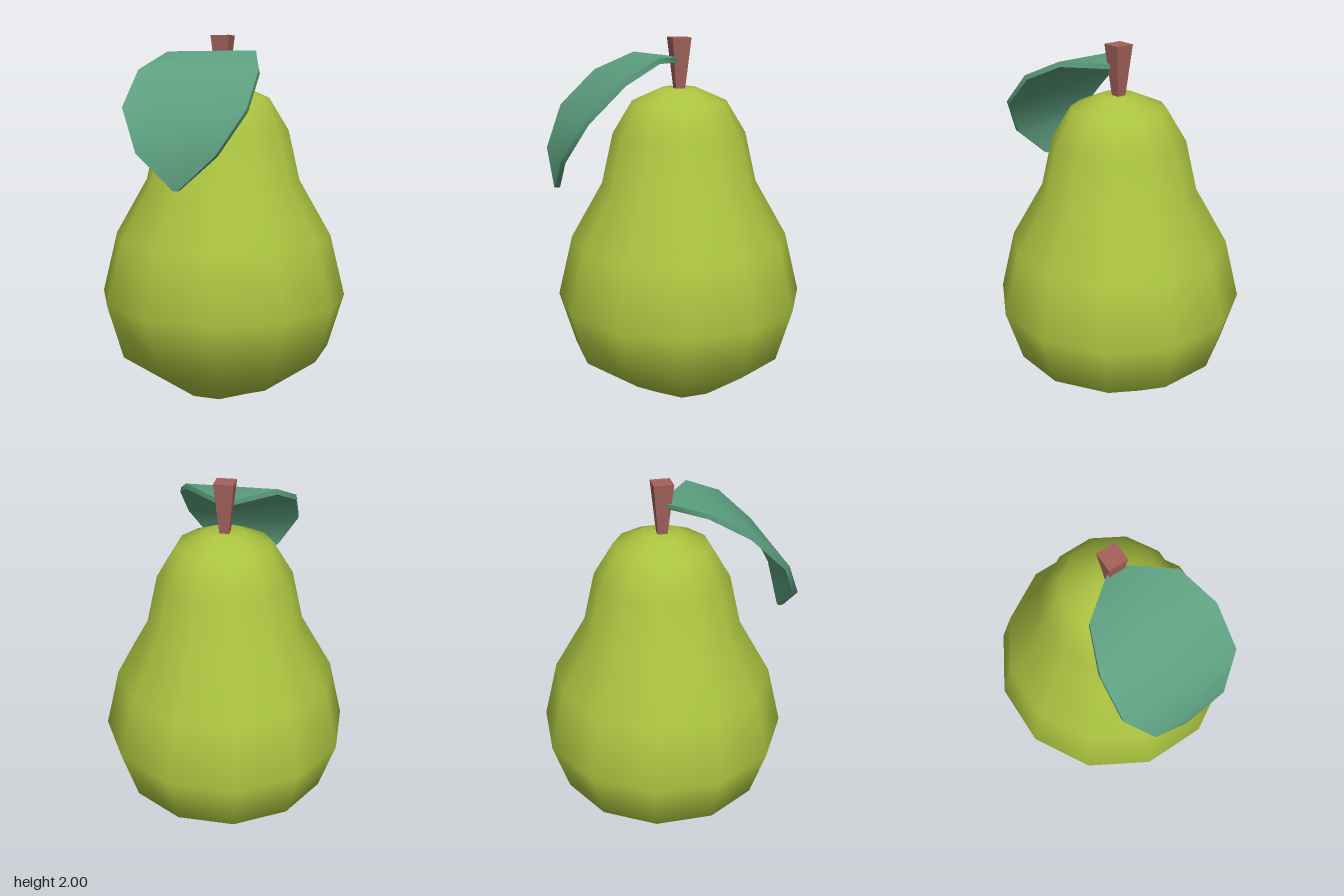
import * as THREE from 'three';
import { mergeVertices, toCreasedNormals } from 'three/addons/utils/BufferGeometryUtils.js';

function material(name, color) {
  const m = new THREE.MeshStandardMaterial({ color });
  m.name = name;
  return m;
}

// Smooth twelve-sided body with a slightly lobed underside
function bodyGeometry() {
  const profile = [
    [0, 0.04], [0.29, 0], [0.61, 0.235], [0.7, 0.54], [0.615, 0.885],
    [0.435, 1.2], [0.37, 1.48], [0.26, 1.66], [0.1, 1.73], [0, 1.725],
  ].map(([r, y]) => new THREE.Vector2(r, y));
  const raw = new THREE.LatheGeometry(profile, 12);
  raw.deleteAttribute('uv');
  raw.deleteAttribute('normal');
  const p = raw.attributes.position;
  for (let i = 0; i < p.count; i++) {
    const onAxis = Math.min(Math.abs(p.getX(i)), Math.abs(p.getZ(i))) < 0.01;
    if (onAxis && i % profile.length === 1) p.setY(i, 0.02);
  }
  const g = mergeVertices(raw, 1e-4);
  g.computeVertexNormals();
  return g;
}

// Drooping leaf: cross-sections of [distance from stem, height, half width]
function leafGeometry() {
  const stations = [
    [0.0, 1.895, 0.015], [0.19, 1.91, 0.25], [0.4, 1.81, 0.33],
    [0.6, 1.62, 0.33], [0.707, 1.4, 0.21], [0.707, 1.22, 0.012],
  ];
  const thickness = 0.028;
  const out = new THREE.Vector3(-1, 0, 1).normalize();
  const side = new THREE.Vector3(1, 0, 1).normalize();
  const positions = [], index = [];
  stations.forEach(([d, y, w], i) => {
    const a = stations[Math.max(i - 1, 0)];
    const b = stations[Math.min(i + 1, stations.length - 1)];
    const n = new THREE.Vector2(a[1] - b[1], b[0] - a[0]).normalize();
    for (const [s, t] of [[1, 0], [-1, 0], [-1, thickness], [1, thickness]]) {
      const v = out.clone().multiplyScalar(d - n.x * t).addScaledVector(side, s * w);
      positions.push(v.x, y - n.y * t, v.z);
    }
    if (i === 0) return;
    const p = (i - 1) * 4, q = i * 4;
    for (let k = 0; k < 4; k++) {
      const m = (k + 1) % 4;
      index.push(p + k, p + m, q + m, p + k, q + m, q + k);
    }
  });
  const e = (stations.length - 1) * 4;
  index.push(0, 2, 1, 0, 3, 2, e, e + 1, e + 2, e, e + 2, e + 3);
  const g = new THREE.BufferGeometry();
  g.setAttribute('position', new THREE.Float32BufferAttribute(positions, 3));
  g.setIndex(index);
  return toCreasedNormals(g, 0.9);
}

export function createModel() {
  const group = new THREE.Group();
  group.name = 'pear';
  const add = (name, geometry, mat) => {
    const mesh = new THREE.Mesh(geometry, mat);
    mesh.name = name;
    group.add(mesh);
    return mesh;
  };

  add('body', bodyGeometry(), material('pear green', 0xabc340));

  // Four-sided tapering stem
  const stem = toCreasedNormals(new THREE.CylinderGeometry(0.075, 0.033, 0.3, 4), 0.5);
  add('stem', stem, material('stem brown', 0xa3625b)).position.y = 1.85;

  add('leaf', leafGeometry(), material('leaf green', 0x5da080));
  return group;
}
